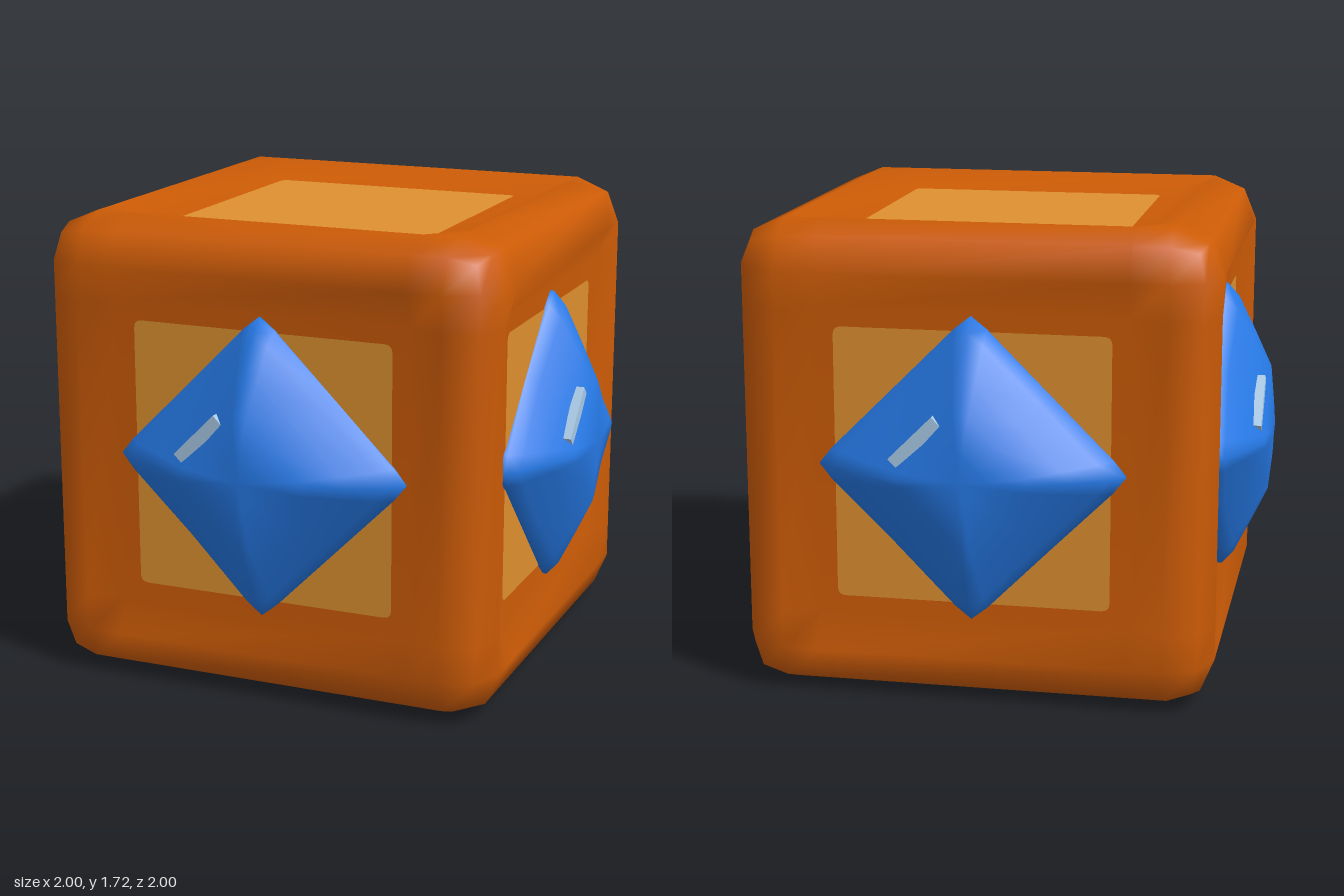
import * as THREE from 'three';
import { mergeVertices } from 'three/addons/utils/BufferGeometryUtils.js';

const HALF = 0.86, RADIUS = 0.17, FACE = 0.8;

function material(name, color) {
  const m = new THREE.MeshStandardMaterial({ color });
  m.name = name;
  return m;
}

// Cube with rounded edges and sunken faces
function blockGeometry() {
  const box = new THREE.BoxGeometry(2, 2, 2, 5, 5, 5);
  box.deleteAttribute('uv');
  box.deleteAttribute('normal');
  const geo = mergeVertices(box);
  const p = geo.attributes.position, core = HALF - RADIUS;
  const grid = (v) => Math.sign(v) * (Math.abs(v) > 0.9 ? HALF : Math.abs(v) > 0.5 ? core : 0.56);
  const v = new THREE.Vector3(), inner = new THREE.Vector3();
  for (let i = 0; i < p.count; i++) {
    v.fromBufferAttribute(p, i).set(grid(v.x), grid(v.y), grid(v.z));
    inner.copy(v).clampScalar(-core, core);
    const small = [v.x, v.y, v.z].filter((c) => Math.abs(c) < 0.6).length;
    const reach = small === 2 ? FACE - core : RADIUS;
    v.sub(inner).normalize().multiplyScalar(reach).add(inner);
    p.setXYZ(i, v.x, v.y, v.z);
  }
  geo.computeVertexNormals();
  return geo;
}

// Flat square inlay with softened corners, facing +z
function inlayGeometry(h, r) {
  const s = new THREE.Shape();
  s.moveTo(-h + r, -h);
  s.lineTo(h - r, -h).quadraticCurveTo(h, -h, h, -h + r);
  s.lineTo(h, h - r).quadraticCurveTo(h, h, h - r, h);
  s.lineTo(-h + r, h).quadraticCurveTo(-h, h, -h, h - r);
  s.lineTo(-h, -h + r).quadraticCurveTo(-h, -h, -h + r, -h);
  return new THREE.ShapeGeometry(s, 4);
}

// Diamond-shaped dome: rings of [tip reach, height at the ridges, height at mid-side]
function gemGeometry() {
  const rings = [[0.55, 0.78, 0.78], [0.55, 0.815, 0.805], [0.5, 0.86, 0.848], [0.37, 0.924, 0.912],
    [0.24, 0.985, 0.98], [0.1, 0.999, 0.998]];
  // One quarter of the outline: tip, shoulder, mid-side, shoulder
  const quarter = [[1, 0], [0.915, 0.107], [0.511, 0.511], [0.107, 0.915]];
  const pos = [], index = [], n = 16;
  for (const [reach, ridge, mid] of rings) {
    for (let k = 0; k < n; k++) {
      const [u, v] = quarter[k % 4], a = Math.floor(k / 4) * Math.PI / 2;
      const c = Math.cos(a), s = Math.sin(a);
      pos.push(reach * (u * c - v * s), reach * (u * s + v * c), k % 4 === 2 ? mid : ridge);
    }
  }
  for (let j = 0; j < rings.length - 1; j++) {
    for (let k = 0; k < n; k++) {
      const a = j * n + k, b = j * n + (k + 1) % n;
      index.push(a, b, b + n, a, b + n, a + n);
    }
  }
  const apex = pos.length / 3, last = (rings.length - 1) * n;
  pos.push(0, 0, 1);
  for (let k = 0; k < n; k++) index.push(last + k, last + (k + 1) % n, apex);
  const geo = new THREE.BufferGeometry();
  geo.setAttribute('position', new THREE.Float32BufferAttribute(pos, 3));
  geo.setIndex(index);
  geo.computeVertexNormals();
  return geo;
}

export function createModel() {
  const orange = material('orange', 0xcc5b06);
  const amber = material('amber', 0xde9030);
  const blue = material('blue', 0x267ae8);
  const pale = material('paleBlue', 0xa9cbe8);

  const model = new THREE.Group();
  model.name = 'gemBlock';
  const add = (parent, name, geo, mat) => {
    const mesh = new THREE.Mesh(geo, mat);
    mesh.name = name;
    parent.add(mesh);
    return mesh;
  };

  const body = new THREE.Group();
  body.name = 'body';
  body.position.y = HALF;
  model.add(body);
  add(body, 'block', blockGeometry(), orange);

  const inlay = inlayGeometry(0.495, 0.03), gem = gemGeometry();
  const glintBar = new THREE.BoxGeometry(0.22, 0.048, 0.035);
  const inlayHeight = FACE + 0.003;

  // Four sides: panel, gem and glint
  for (let k = 0; k < 4; k++) {
    const side = new THREE.Group();
    side.name = 'side' + (k + 1);
    side.rotation.y = k * Math.PI / 2;
    add(side, 'panel', inlay, amber).position.z = inlayHeight;
    add(side, 'gem', gem, blue);
    const glint = add(side, 'glint', glintBar, pale);
    glint.position.set(-0.166, 0.13, 0.954);
    glint.rotation.z = Math.PI / 4;
    body.add(side);
  }

  // Top and bottom panels
  for (const s of [1, -1]) {
    const panel = add(body, s > 0 ? 'topPanel' : 'bottomPanel', inlay, amber);
    panel.rotation.x = -s * Math.PI / 2;
    panel.position.y = s * inlayHeight;
  }
  return model;
}
